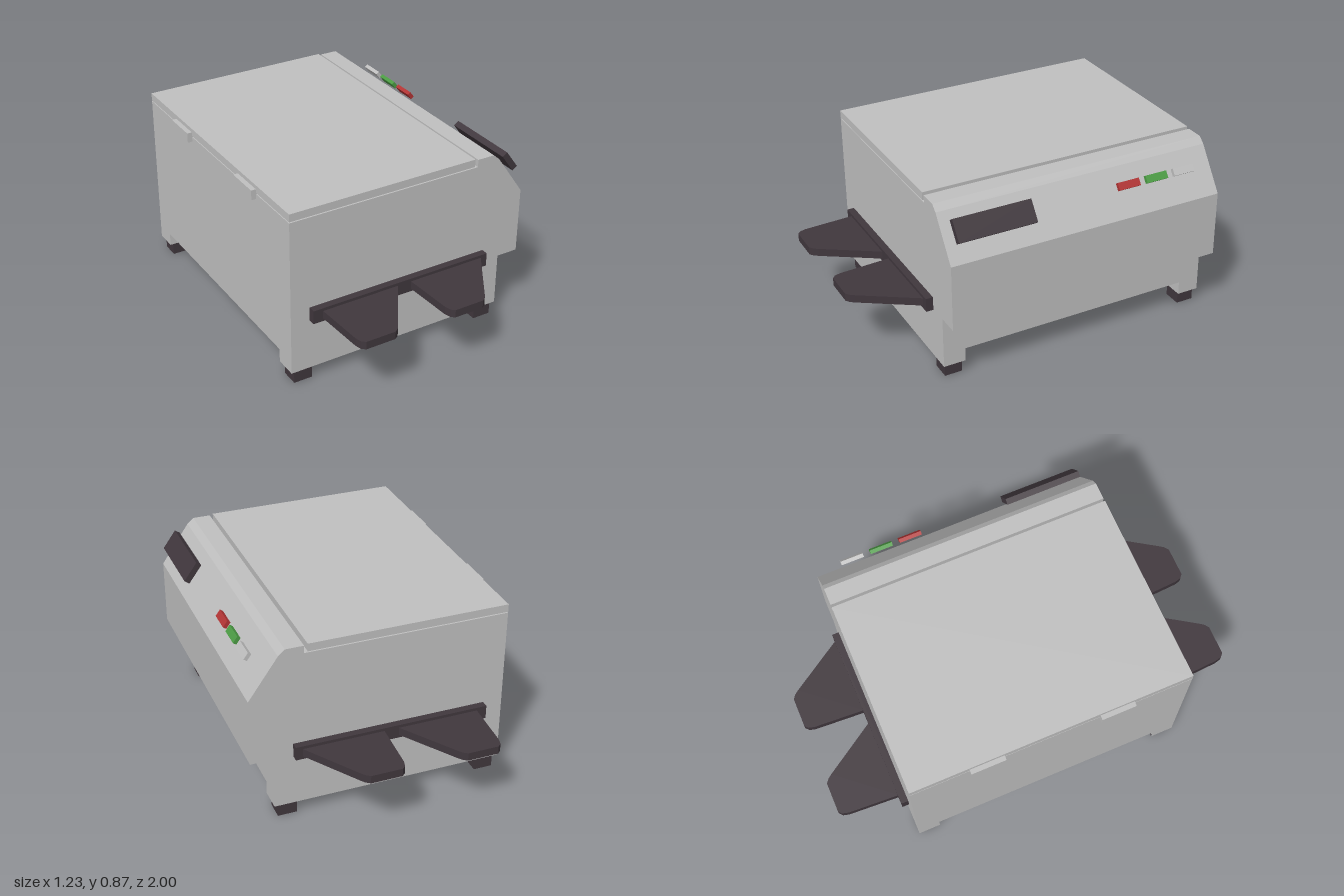
import * as THREE from 'three';

const mat = (name, color) => {
  const m = new THREE.MeshStandardMaterial({ color });
  m.name = name;
  return m;
};

export function createModel() {
  const model = new THREE.Group();
  model.name = 'benchMachine';
  const grey = mat('casingGrey', 0xbfbfbf);
  const dark = mat('darkPlastic', 0x40373d);
  const red = mat('buttonRed', 0xb23434);
  const green = mat('buttonGreen', 0x4c9c44);

  const add = (name, geometry, material, x = 0, y = 0, z = 0) => {
    const mesh = new THREE.Mesh(geometry, material);
    mesh.name = name;
    mesh.position.set(x, y, z);
    model.add(mesh);
    return mesh;
  };
  // Box given by its limits on each axis
  const box = (name, material, [x0, x1], [y0, y1], [z0, z1]) =>
    add(name, new THREE.BoxGeometry(x1 - x0, y1 - y0, z1 - z0), material,
      (x0 + x1) / 2, (y0 + y1) / 2, (z0 + z1) / 2);
  const extrude = (points, depth) => new THREE.ExtrudeGeometry(
    new THREE.Shape(points.map(([x, y]) => new THREE.Vector2(x, y))),
    { depth, bevelEnabled: false });

  // Casing: side profile with overhanging control panel, run across the width
  const W = 0.68;
  add('casing', extrude([
    [-0.594, 0.13], [0.507, 0.13], [0.507, 0.321], [0.613, 0.321], [0.613, 0.64],
    [0.476, 0.836], [0.445, 0.863], [0.36, 0.863], [0.36, 0.827], [-0.594, 0.827],
  ], 2 * W), grey, 0, 0, -W);

  // Lid and its two hinges
  box('lid', grey, [-0.594, 0.344], [0.832, 0.869], [-W, W]);
  for (const z of [-0.315, 0.31]) {
    box('hinge', grey, [-0.617, -0.575], [0.803, 0.85], [z - 0.083, z + 0.083]);
  }

  // Carrying paddle outline (x, distance from centre)
  const paddle = [
    [-0.454, 0.71], [-0.068, 0.71], [-0.235, 0.965], [-0.25, 0.985], [-0.27, 1],
    [-0.415, 1], [-0.432, 0.985], [-0.44, 0.955],
  ];

  for (const s of [1, -1]) {
    const span = (a, b) => (s > 0 ? [a, b] : [-b, -a]);
    box('skirt', grey, [-0.594, 0.507], [0.065, 0.13], span(0.573, W));
    for (const x of [-0.53, 0.443]) {
      box('foot', dark, [x - 0.045, x + 0.045], [0, 0.065], span(0.583, 0.668));
    }
    box('handleRail', dark, [-0.501, 0.415], [0.315, 0.381], span(W, 0.714));
    for (const dx of [0, 0.453]) {
      const outline = paddle.map(([x, d]) => [x, -s * d]);
      const geo = extrude(outline, 0.038).rotateX(-Math.PI / 2);
      add('handlePaddle', geo, dark, dx, 0.329, 0);
    }
  }

  // Display and buttons stand parallel to the sloping panel
  const onPanel = (name, material, thick, length, z0, z1, y) => {
    const part = box(name, material, [0.571 - thick / 2, 0.571 + thick / 2],
      [y - length / 2, y + length / 2], [z0, z1]);
    part.rotation.z = 0.63;
  };
  onPanel('display', dark, 0.029, 0.106, 0.265, 0.64, 0.78);
  onPanel('redButton', red, 0.018, 0.035, -0.27, -0.16, 0.786);
  onPanel('greenButton', green, 0.018, 0.035, -0.415, -0.305, 0.786);
  onPanel('greyButton', grey, 0.018, 0.035, -0.56, -0.45, 0.786);

  return model;
}
